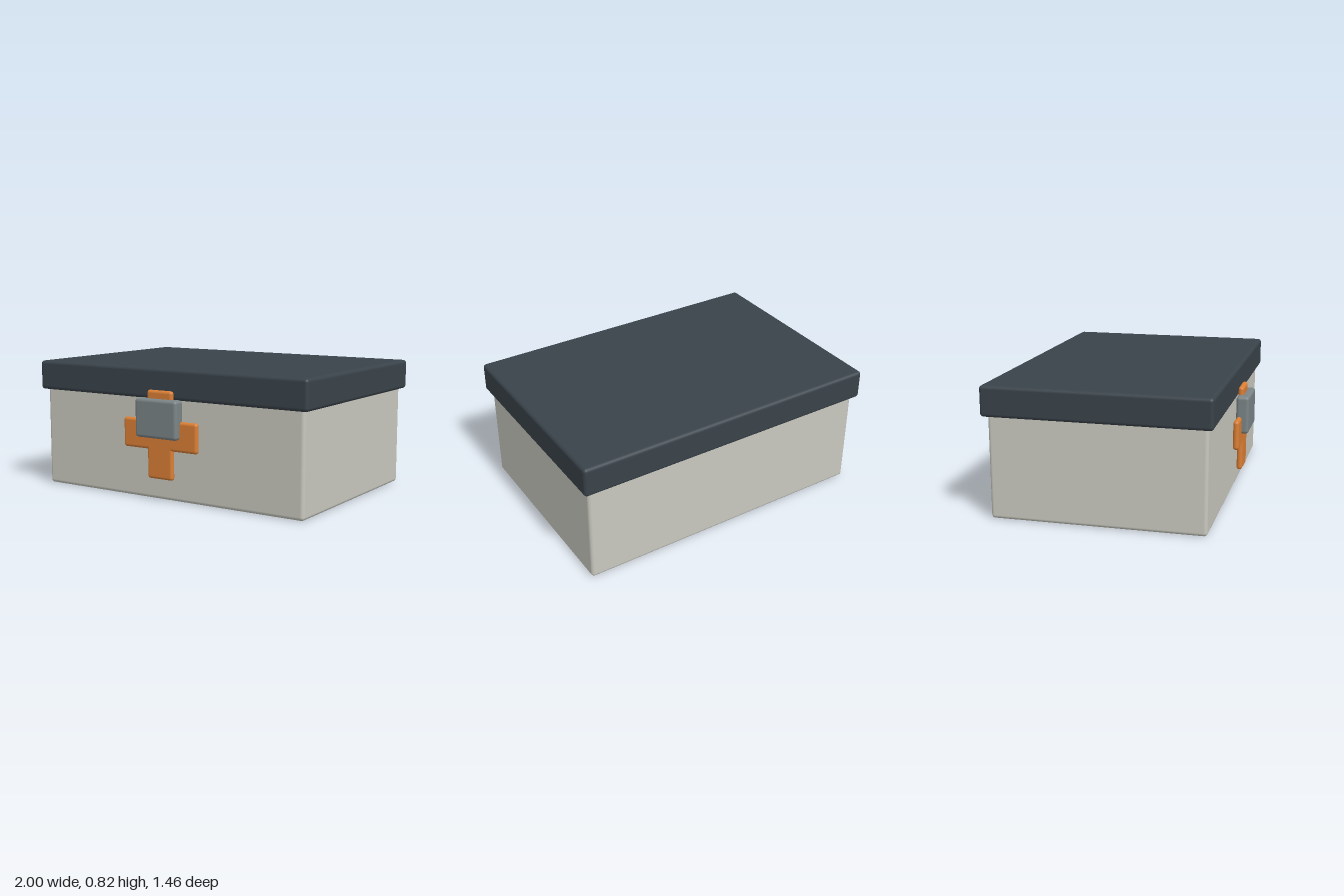
import * as THREE from 'three';
import { RoundedBoxGeometry } from 'three/addons/geometries/RoundedBoxGeometry.js';

const material = (color) => new THREE.MeshStandardMaterial({ color });

// Rounded box given by its [min, max] extent along each axis
function roundedBox(name, [x0, x1], [y0, y1], [z0, z1], radius, mat) {
  const geometry = new RoundedBoxGeometry(x1 - x0, y1 - y0, z1 - z0, 4, radius);
  const mesh = new THREE.Mesh(geometry, mat);
  mesh.name = name;
  mesh.position.set((x0 + x1) / 2, (y0 + y1) / 2, (z0 + z1) / 2);
  return mesh;
}

export function createModel() {
  const model = new THREE.Group();
  model.name = 'storageBox';

  const shell = material(0xc8c8bf);
  const dark = material(0x39434a);
  const orange = material(0xdb7f35);
  const grey = material(0x7b8486);

  // Container and overhanging lid
  model.add(
    roundedBox('body', [-0.965, 0.965], [0, 0.66], [-0.693, 0.62], 0.022, shell),
    roundedBox('lid', [-1, 1], [0.632, 0.82], [-0.728, 0.652], 0.022, dark),
  );

  // Front clasp: a cross of two plates with a latch block over it
  const clasp = new THREE.Group();
  clasp.name = 'clasp';
  const plateDepth = [0.649, 0.686];
  clasp.add(
    roundedBox('uprightPlate', [-0.094, 0.094], [0.142, 0.69], plateDepth, 0.018, orange),
    roundedBox('crossPlate', [-0.276, 0.276], [0.324, 0.51], plateDepth, 0.018, orange),
    roundedBox('latch', [-0.155, 0.155], [0.4, 0.64], [0.647, 0.728], 0.02, grey),
  );
  model.add(clasp);

  return model;
}
